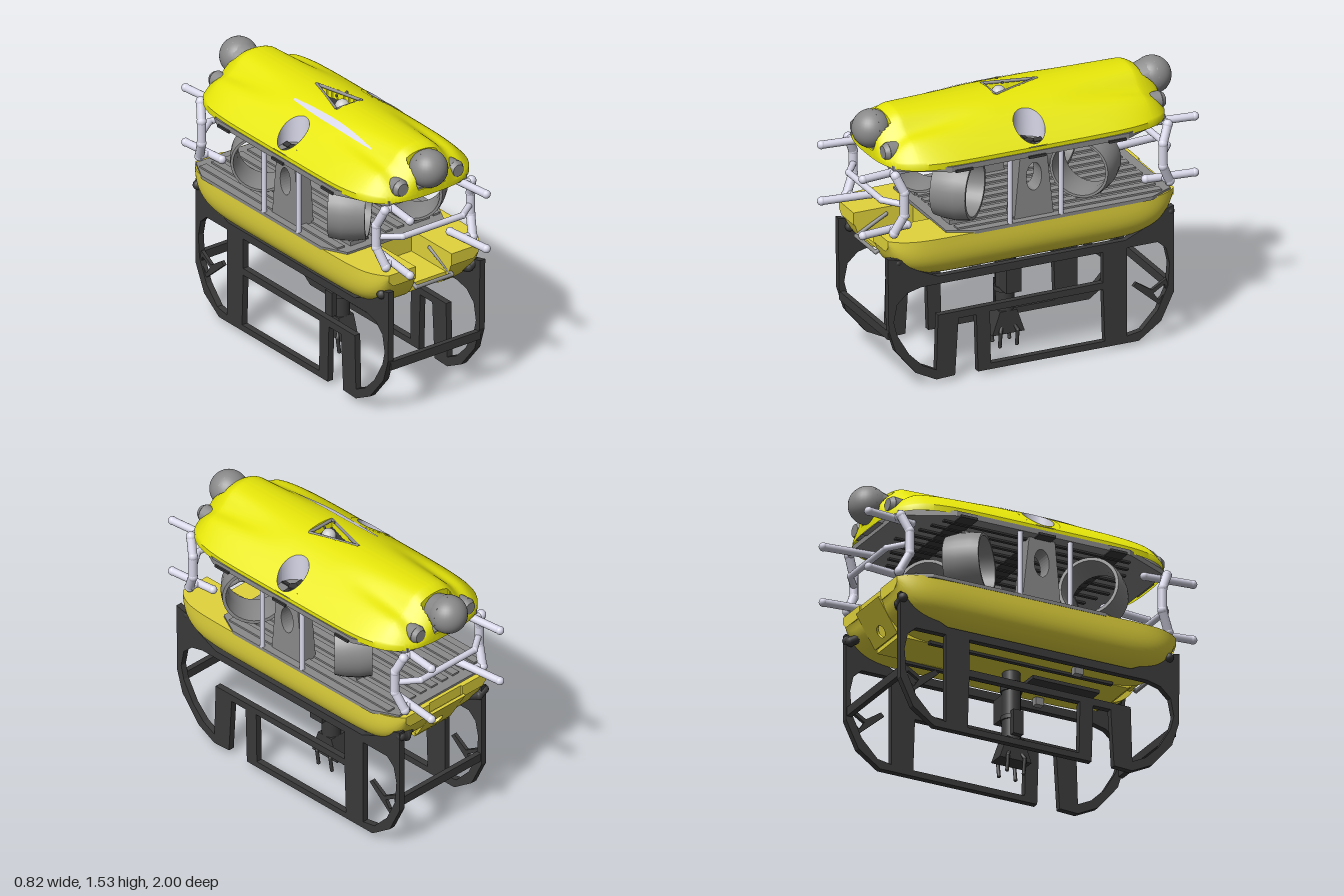
import * as THREE from 'three';
import { toCreasedNormals } from 'three/addons/utils/BufferGeometryUtils.js';

const mat = (color) => new THREE.MeshStandardMaterial({ color, side: THREE.DoubleSide });
const V = (x, y, z) => new THREE.Vector3(x, y, z);

export function createModel() {
  const root = new THREE.Group();
  const yellow = mat(0xe6e60a), hullYellow = mat(0xe2d43c), dark = mat(0x3a3a3a);
  const grey = mat(0x8a8a8a), light = mat(0xd8d8ea), pale = mat(0xcccccc);

  const add = (name, geo, m, parent = root) => {
    const mesh = new THREE.Mesh(geo, m);
    mesh.name = name;
    parent.add(mesh);
    return mesh;
  };
  const box = (name, m, w, h, d, x, y, z, parent) =>
    add(name, new THREE.BoxGeometry(w, h, d).translate(x, y, z), m, parent);
  const rod = (name, m, a, b, r, parent, r2 = r) => {
    const mesh = add(name, new THREE.CylinderGeometry(r2, r, a.distanceTo(b), 14), m, parent);
    mesh.position.copy(a).lerp(b, 0.5);
    mesh.quaternion.setFromUnitVectors(V(0, 1, 0), b.clone().sub(a).normalize());
    return mesh;
  };
  const polyRod = (name, m, pts, r, parent) => pts.forEach((p, i) => {
    add(name + 'Joint', new THREE.SphereGeometry(r * 1.1, 12, 8).translate(p.x, p.y, p.z), m, parent);
    if (i) rod(name, m, pts[i - 1], p, r, parent);
  });
  const shapeOf = (pts) => new THREE.Shape(pts.map(([x, y]) => new THREE.Vector2(x, y)));
  const extrude = (shape, depth) => new THREE.ExtrudeGeometry(shape, { depth, bevelEnabled: false, curveSegments: 16 });
  // Side outlines: shape x runs along world z, thickness along world x.
  const sidePlate = (shape, t, x) => extrude(shape, t).rotateY(-Math.PI / 2).translate(x + t / 2, 0, 0);
  const planPlate = (pts, t, top) => extrude(shapeOf(pts), t).rotateX(Math.PI / 2).translate(0, top, 0);
  // A grid of points joined into a surface.
  const gridGeometry = (rows, cols, point) => {
    const pos = [], idx = [];
    for (let i = 0; i <= rows; i++) for (let j = 0; j <= cols; j++) {
      pos.push(...point(i / rows, j / cols));
      const a = i * (cols + 1) + j, b = a + cols + 1;
      if (i < rows && j < cols) idx.push(a, b, a + 1, b, b + 1, a + 1);
    }
    const g = new THREE.BufferGeometry();
    g.setAttribute('position', new THREE.Float32BufferAttribute(pos, 3));
    g.setIndex(idx);
    g.computeVertexNormals();
    return g;
  };

  // Upper float: arched height field with wells, grooves and end notches
  const floatWidth = (z) => 0.395 * Math.cbrt(Math.max(0, 1 - Math.pow(Math.abs(z) / 0.84, 6)));
  const floatY = (x, z) => {
    const u = Math.min(1, Math.abs(x) / Math.max(0.001, floatWidth(z))), e = Math.abs(z);
    const end = 1 - 0.5 * Math.pow(THREE.MathUtils.clamp((e - 0.68) / 0.16, 0, 1), 1.5);
    const groove = 0.055 * THREE.MathUtils.smoothstep(e, 0.15, 0.75) * Math.exp(-(((Math.abs(x) - 0.19) / 0.06) ** 2));
    return 1.265 + Math.max(0, (0.025 + 0.21 * (1 - u * u)) * end - groove * (1 - u * u));
  };
  const inTriangle = (x, z) => z < 0.11 && z > -0.16 && Math.abs(x) < 0.08 * (z + 0.17) / 0.28;
  const floatShell = gridGeometry(170, 82, (a, b) => {
    // the outermost columns and rows form a short skirt
    const u = THREE.MathUtils.clamp((b * 82 - 1) / 80, 0, 1) * 2 - 1;
    const z = 0.84 * Math.sin((a - 0.5) * Math.PI), x = u * floatWidth(z);
    if (b === 0 || b === 1 || a === 0 || a === 1) return [x, 1.255, z];
    let y = floatY(x, z);
    if (Math.abs(u) < 0.98 && Math.hypot(Math.abs(x) - 0.3, z - 0.02) < 0.1) y = 1.268;
    if (inTriangle(x, z)) y -= 0.07;
    if (Math.abs(x) < 0.1 && Math.abs(z) > 0.74) y = 1.3;
    return [x, y, z];
  });
  add('upperFloat', toCreasedNormals(floatShell, 0.7), yellow);
  add('floatStripe', gridGeometry(24, 2, (a, b) => {
    const z = -0.15 + 0.67 * a, x = -0.165 + (b - 0.5) * 0.04 * Math.sin(Math.PI * (0.1 + 0.85 * a));
    return [x, floatY(x, z) + 0.004, z];
  }), light);

  // Triangular hatch with its small sensor
  const corners = [[0, -0.17], [0.085, 0.115], [-0.085, 0.115]].map(([x, z]) => V(x, floatY(x, z) - 0.004, z));
  corners.forEach((c, i) => rod('hatchFrame', grey, c, corners[(i + 1) % 3], 0.009));
  add('hatchFloor', planPlate([[0, -0.16], [0.08, 0.11], [-0.08, 0.11]], 0.01, 1.445), dark);
  add('hatchSensor', new THREE.SphereGeometry(0.04, 16, 10).translate(0, 1.455, 0.055), pale);
  for (const x of [-0.035, 0.035]) box('antennaTip', grey, 0.008, 0.012, 0.012, x, 1.525, 0.05);

  // Frame plates above and below the thrusters, with ribs
  const plan = (w, f, b, c) => [[-w, b + 2 * c], [-w + c, b], [w - c, b], [w, b + 2 * c], [w, f - 2 * c], [w - c, f], [-w + c, f], [-w, f - 2 * c]];
  add('upperPlate', planPlate(plan(0.4, 0.8, -0.8, 0.14), 0.03, 1.268), grey);
  add('deckPlate', planPlate(plan(0.392, 0.52, -0.8, 0.07), 0.02, 0.872), grey);
  for (let i = -4; i <= 4; i++) {
    box('upperRib', dark, 0.02, 0.012, 1.36 - 0.06 * Math.abs(i), i * 0.08, 1.234, 0);
    box('deckRib', grey, 0.045, 0.012, 1.2, i * 0.08, 0.876, -0.14);
  }
  for (const z of [-0.45, 0.02, 0.45]) box('upperCrossbar', dark, 0.82, 0.014, 0.1, 0, 1.24, z);

  // Lower hull: twin pontoons joined by a bridge with a central tunnel
  const pontoon = gridGeometry(60, 28, (a, b) => {
    const s = Math.sin((a - 0.5) * Math.PI), r = Math.abs(s);
    const w = 0.39 - 0.09 * r ** 10, d = Math.max(0.07, 0.26 * Math.sqrt(1 - r ** 8));
    const z = 0.01 + 0.84 * s;
    if (b === 0 || b === 1) return [0.12, 0.86, z];
    const t = THREE.MathUtils.clamp((b * 28 - 1) / 26, 0, 1) * Math.PI / 2;
    return [0.12 + (w - 0.12) * Math.sin(t) ** 0.65, 0.86 - d * Math.max(0, Math.cos(t)) ** 0.65, z];
  });
  const pontoonEnd = shapeOf([[0.12, 0.86], [0.12, 0.79], [0.27, 0.79], [0.3, 0.82], [0.3, 0.86]]);
  box('hullBridge', hullYellow, 0.25, 0.06, 1.32, 0, 0.83, -0.16);
  box('hullBelly', hullYellow, 0.25, 0.025, 1.38, 0, 0.614, -0.03);
  box('bowTray', hullYellow, 0.25, 0.02, 0.32, 0, 0.725, 0.64);
  box('bowRecessWall', hullYellow, 0.25, 0.13, 0.02, 0, 0.785, 0.49);
  // End panels pierced by the tunnel; the stern one leans with the hull
  const bulkhead = (top) => {
    const s = shapeOf([[-0.125, -0.06], [0.125, -0.06], [0.125, top], [-0.125, top]]);
    s.holes.push(new THREE.Path().absarc(0, 0, 0.034, 0, Math.PI * 2));
    return extrude(s, 0.015);
  };
  add('bowBulkhead', bulkhead(0.055).translate(0, 0.67, 0.66), hullYellow);
  add('sternBulkhead', bulkhead(0.16).rotateX(-0.55).translate(0, 0.67, -0.765), hullYellow);
  polyRod('trayGuard', grey, [V(-0.12, 0.82, 0.66), V(-0.11, 0.73, 0.84), V(0.13, 0.73, 0.84), V(0.12, 0.82, 0.66)], 0.011);

  // Landing skid outline with its three windows
  const skid = shapeOf([[0.865, 0.77], [0.86, 0.36], [0.82, 0.23], [0.7, 0.085], [0.58, 0.025], [0.47, 0.03], [0.45, 0.355],
    [0.345, 0.355], [0.335, 0.025], [-0.61, 0.025], [-0.74, 0.115], [-0.815, 0.27], [-0.815, 0.77], [-0.75, 0.75], [-0.69, 0.69],
    [-0.53, 0.62], [0.57, 0.62], [0.7, 0.68], [0.76, 0.745]]);
  for (const w of [
    [[0.83, 0.4], [0.81, 0.5], [0.75, 0.555], [0.67, 0.575], [-0.4, 0.575], [-0.4, 0.4], [0.57, 0.395], [0.58, 0.08], [0.66, 0.12], [0.74, 0.2], [0.81, 0.32]],
    [[0.265, 0.36], [-0.4, 0.36], [-0.41, 0.06], [0.26, 0.06]],
    [[-0.54, 0.575], [-0.72, 0.575], [-0.77, 0.53], [-0.79, 0.44], [-0.78, 0.31], [-0.72, 0.18], [-0.625, 0.08], [-0.54, 0.065]],
  ]) skid.holes.push(new THREE.Path(w.map(([x, y]) => new THREE.Vector2(x, y))));
  // Angled brace inside the rear loop
  const brace = shapeOf([[-0.58, 0.34], [-0.6, 0.36], [-0.69, 0.3], [-0.775, 0.35], [-0.79, 0.28], [-0.73, 0.21]]);
  brace.holes.push(new THREE.Path([[-0.7, 0.28], [-0.765, 0.32], [-0.775, 0.28], [-0.73, 0.235]].map(([x, y]) => new THREE.Vector2(x, y))));
  const tower = shapeOf([[0.13, 0.87], [0.095, 1.24], [-0.06, 1.24], [-0.1, 0.87]]);
  tower.holes.push(new THREE.Path().absellipse(0.015, 1.1, 0.045, 0.08, 0, Math.PI * 2));

  const ductProfile = [[0.15, -0.1], [0.168, -0.1], [0.178, -0.03], [0.174, 0.05], [0.164, 0.1], [0.15, 0.1], [0.142, 0], [0.15, -0.1]]
    .map(([r, y]) => new THREE.Vector2(r, y));
  const duct = toCreasedNormals(new THREE.LatheGeometry(ductProfile, 32), 0.6);

  // Everything that comes in a left and right pair
  for (const s of [1, -1]) {
    const side = new THREE.Group();
    side.name = s > 0 ? 'leftSide' : 'rightSide';
    side.scale.x = s;
    root.add(side);
    add('pontoon', toCreasedNormals(pontoon, 0.6), hullYellow, side);
    for (const z of [-0.83, 0.85]) add('pontoonEnd', new THREE.ShapeGeometry(pontoonEnd).translate(0, 0, z), hullYellow, side);
    const skidX = 0.305 + 0.01 * s;
    add('skid', sidePlate(skid, 0.036, skidX), dark, side);
    add('skidBrace', sidePlate(brace, 0.02, skidX), dark, side);
    add('thrusterTower', sidePlate(tower, 0.1, 0.3), grey, side);

    // Vectored thruster ducts and hangers
    for (const e of [1, -1]) {
      const d = add('thrusterDuct', duct, grey, side);
      d.position.set(0.215, 1.06, e > 0 ? 0.4 : -0.35);
      d.quaternion.setFromUnitVectors(V(0, 1, 0), V(-e, 0, 1).normalize());
      box('ductHanger', grey, 0.08, 0.03, 0.12, 0.215, 1.235, d.position.z, side);
      box('ductFoot', grey, 0.1, 0.025, 0.14, 0.215, 0.885, d.position.z, side);
      rod('framePost', light, V(0.38, 0.87, 0.02 + e * 0.15), V(0.38, 1.25, 0.02 + e * 0.15), 0.014, side);
      polyRod('skidMount', dark, [V(0.31, 0.735, e * 0.8), V(0.27, 0.715, e * 0.8), V(0.22, 0.725, e * 0.77)], 0.025, side);
    }

    // Vertical thruster well: collar and liner follow the float
    add('wellCollar', gridGeometry(48, 3, (a, b) => {
      const t = a * Math.PI * 2, r = 0.085 + 0.033 * b, z = 0.02 + r * Math.sin(t);
      const x = Math.min(0.3 + r * Math.cos(t), floatWidth(z));
      return [x, floatY(x, z) + 0.003, z];
    }), yellow, side);
    const liner = new THREE.CylinderGeometry(0.085, 0.085, 0.1, 48, 1, true).translate(0.3, 0, 0.02);
    const p = liner.attributes.position;
    for (let i = 0; i < p.count; i++) p.setY(i, p.getY(i) > 0 ? floatY(p.getX(i), p.getZ(i)) + 0.005 : 1.262);
    liner.computeVertexNormals();
    add('wellLiner', liner, light, side);
    add('wellFloor', new THREE.CylinderGeometry(0.085, 0.085, 0.01, 28).translate(0.3, 1.272, 0.02), grey, side);
    add('wellHub', new THREE.CylinderGeometry(0.025, 0.03, 0.02, 16).translate(0.3, 1.285, 0.02), dark, side);
    for (let i = 0; i < 4; i++) {
      const blade = box('wellBlade', dark, 0.06, 0.006, 0.03, 0.045, 0, 0, side);
      blade.position.set(0.3, 1.285, 0.02);
      blade.rotation.set(0.3, i * Math.PI / 2, 0, 'YXZ');
    }
    box('ballastFoot', grey, 0.04, 0.05, 0.05, 0.22, 0.585, 0.3, side);
    box('bellyRail', dark, 0.025, 0.02, 1.1, 0.14, 0.597, 0, side);
  }
  box('toolRail', dark, 0.15, 0.02, 0.4, 0, 0.57, 0.31);

  // Bumpers, domes and lamps at both ends
  for (const e of [1, -1]) {
    const end = new THREE.Group();
    end.name = e > 0 ? 'bowFittings' : 'sternFittings';
    end.scale.z = e;
    root.add(end);
    for (const s of [1, -1]) {
      polyRod('bumperUpright', light, [V(0.29 * s, 1.225, 0.8), V(0.315 * s, 1.13, 0.76), V(0.315 * s, 1, 0.76), V(0.29 * s, 0.895, 0.81)], 0.025, end);
      for (const y of [1.225, 0.9]) {
        polyRod('bumperHorn', light, [V(0.225 * s, y, 0.7), V(0.255 * s, y, 0.975)], 0.022, end);
        rod('hornLink', light, V(0.23 * s, y, 0.8), V(0.3 * s, y, 0.8), 0.02, end);
      }
      rod('lamp', grey, V(0.18 * s, 1.325, 0.7), V(0.185 * s, 1.325, 0.8), 0.045, end, 0.05);
      rod('lampRim', grey, V(0.185 * s, 1.325, 0.8), V(0.185 * s, 1.325, 0.825), 0.05, end, 0.035);
    }
    polyRod('bumperBar', light, [V(-0.31, 1.06, 0.76), V(-0.2, 1.06, 0.84), V(0.2, 1.06, 0.84), V(0.31, 1.06, 0.76)], 0.018, end);
    const dz = e > 0 ? 0.805 : 0.845;
    add('cameraDome', new THREE.SphereGeometry(0.105, 32, 20).translate(0, 1.39, dz), grey, end);
    rod('domeSeat', grey, V(0, 1.38, 0.69), V(0, 1.39, dz), 0.07, end, 0.106);
    box('domeBracket', grey, 0.18, 0.05, 0.12, 0, 1.285, 0.77, end);
  }

  // Crossbars between the skids
  box('frontCrossbar', dark, 0.6, 0.05, 0.03, 0.01, 0.32, 0.84);
  box('rearCrossbar', dark, 0.6, 0.05, 0.03, 0.01, 0.315, -0.795);

  // Manipulator hanging amidships
  const arm = new THREE.Group();
  arm.name = 'manipulator';
  arm.position.set(0.01, 0, 0.025);
  root.add(arm);
  for (const [y0, y1, r] of [[0.2, 0.36, 0.052], [0.34, 0.5, 0.052], [0.49, 0.54, 0.06], [0.53, 0.62, 0.05], [0.32, 0.345, 0.06]])
    rod('armSegment', dark, V(0, y0, 0), V(0, y1, 0), r, arm);
  box('actuatorBox', dark, 0.14, 0.14, 0.09, 0.045, 0.41, 0, arm);
  box('sideValve', dark, 0.03, 0.14, 0.06, -0.065, 0.29, 0, arm);
  add('gripperBody', sidePlate(shapeOf([[0.05, 0.21], [-0.05, 0.21], [-0.095, 0.08], [0.095, 0.08]]), 0.1, 0), dark, arm);
  for (const s of [1, -1]) for (const z of [-0.05, 0.05]) {
    polyRod('gripperFinger', dark, [V(0.03 * s, 0.14, z * 0.6), V(0.058 * s, 0.095, z), V(0.046 * s, 0.012, z)], 0.01, arm);
  }
  return root;
}
